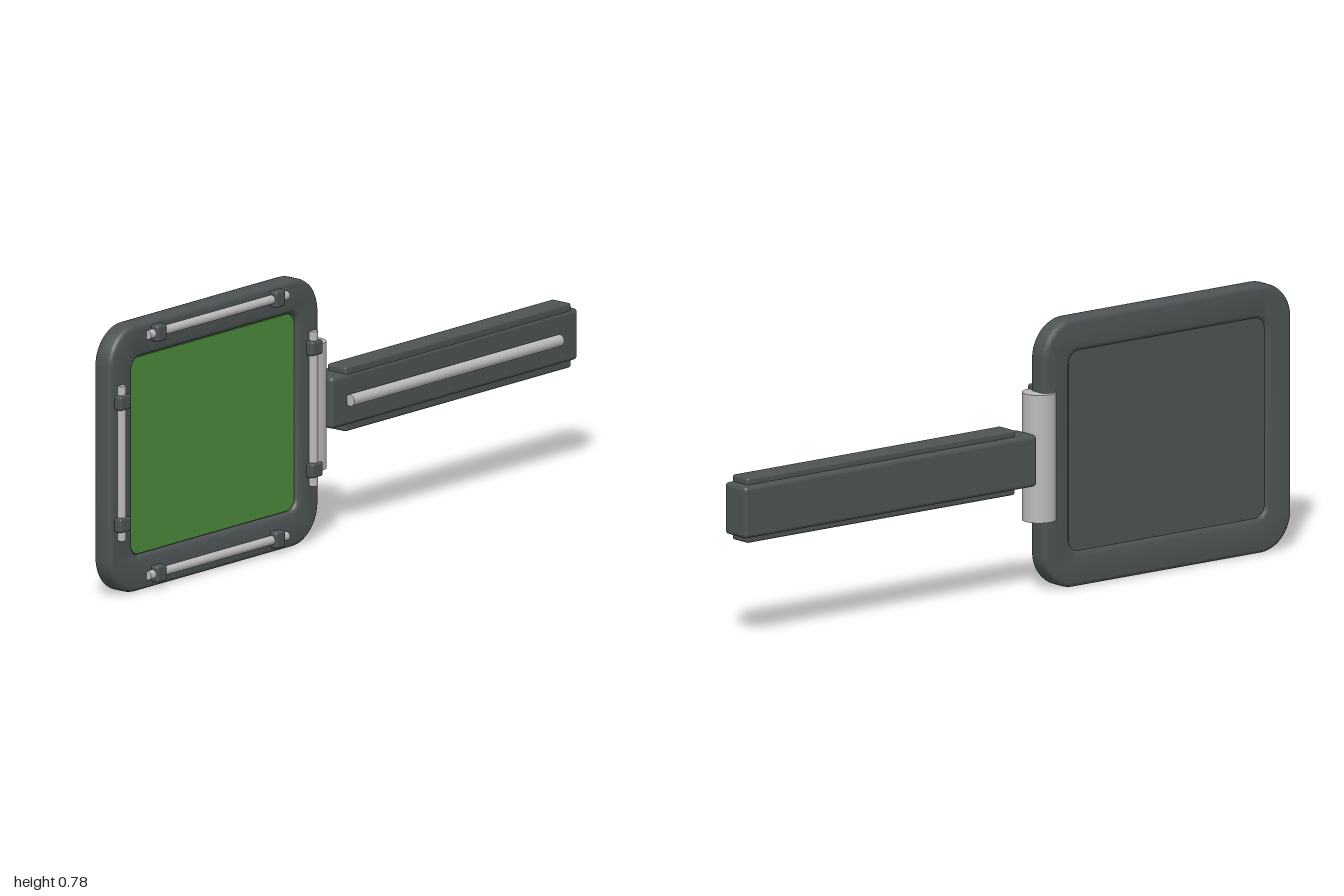
import * as THREE from 'three';
import { toCreasedNormals } from 'three/addons/utils/BufferGeometryUtils.js';
import { RoundedBoxGeometry } from 'three/addons/geometries/RoundedBoxGeometry.js';

const mat = (name, color) => {
  const m = new THREE.MeshStandardMaterial({ color });
  m.name = name;
  return m;
};

// Rounded rectangle drawn into a Shape or a Path
function roundRect(path, x0, y0, x1, y1, r) {
  path.moveTo(x0 + r, y0);
  path.lineTo(x1 - r, y0);
  path.absarc(x1 - r, y0 + r, r, -Math.PI / 2, 0, false);
  path.lineTo(x1, y1 - r);
  path.absarc(x1 - r, y1 - r, r, 0, Math.PI / 2, false);
  path.lineTo(x0 + r, y1);
  path.absarc(x0 + r, y1 - r, r, Math.PI / 2, Math.PI, false);
  path.lineTo(x0, y0 + r);
  path.absarc(x0 + r, y0 + r, r, Math.PI, Math.PI * 1.5, false);
  return path;
}

export function createModel() {
  const root = new THREE.Group();
  root.name = 'handheldScreen';
  const dark = mat('darkGrey', 0x4d5354);
  const silver = mat('silver', 0xb9b9bd);
  const green = mat('screenGreen', 0x4d8a3d);

  const add = (name, geometry, material, x = 0, y = 0, z = 0, parent = root) => {
    const mesh = new THREE.Mesh(geometry, material);
    mesh.name = name;
    mesh.position.set(x, y, z);
    parent.add(mesh);
    return mesh;
  };
  // Rounded box from its two extreme corners
  const box = (name, a, b, radius, parent) => add(name,
    new RoundedBoxGeometry(b[0] - a[0], b[1] - a[1], b[2] - a[2], 3, radius), dark,
    (a[0] + b[0]) / 2, (a[1] + b[1]) / 2, (a[2] + b[2]) / 2, parent);

  // Screen frame with a softened rim and a rounded opening
  const bevel = 0.013;
  const frame = roundRect(new THREE.Shape(), -1, 0, -0.1, 0.778, 0.11);
  frame.holes.push(roundRect(new THREE.Path(), -0.905, 0.103, -0.193, 0.682, 0.035));
  const frameGeo = new THREE.ExtrudeGeometry(frame, {
    depth: 0.065 - 2 * bevel, bevelEnabled: true, bevelSize: bevel, bevelOffset: -bevel,
    bevelThickness: bevel, bevelSegments: 3, curveSegments: 10,
  });
  add('frame', toCreasedNormals(frameGeo, 0.7), dark, 0, 0, -0.045 + bevel);

  // Panel filling the opening, with the screen on its front
  const panel = roundRect(new THREE.Shape(), -0.91, 0.098, -0.188, 0.687, 0.035);
  add('backPanel', new THREE.ExtrudeGeometry(panel, { depth: 0.04, bevelEnabled: false }),
    dark, 0, 0, -0.036);
  const screen = roundRect(new THREE.Shape(), -0.902, 0.106, -0.196, 0.679, 0.033);
  add('screen', new THREE.ExtrudeGeometry(screen, { depth: 0.005, bevelEnabled: false }),
    green, 0, 0, 0.004);

  // One clip rail: a silver rod held by two clasps, laid out along local x
  function clipRail(name, x, y, length, spacing, vertical) {
    const rail = new THREE.Group();
    rail.name = name;
    rail.position.set(x, y, 0.02);
    if (vertical) rail.rotation.z = Math.PI / 2;
    const rod = add('rod', new THREE.CylinderGeometry(0.013, 0.013, length, 20), silver, 0, 0, 0.005, rail);
    rod.rotation.z = Math.PI / 2;
    for (const s of [-1, 1]) {
      const c = s * spacing / 2;
      box('clasp', [c - 0.021, -0.024, -0.01], [c + 0.021, 0.024, 0.023], 0.007, rail);
    }
    root.add(rail);
  }
  clipRail('topRail', -0.547, 0.741, 0.6, 0.513, false);
  clipRail('bottomRail', -0.547, 0.04, 0.6, 0.513, false);
  clipRail('rightRail', -0.96, 0.39, 0.45, 0.356, true);
  clipRail('leftRail', -0.132, 0.39, 0.45, 0.356, true);

  // Hinge barrel between frame and handle
  add('hinge', new THREE.CylinderGeometry(0.0485, 0.0485, 0.37, 40), silver, -0.107, 0.39, -0.0115);

  // Handle with side strips and a silver inlay rod
  box('handle', [-0.063, 0.315, -0.06], [1, 0.465, 0.036], 0.012);
  box('sideStrips', [0, 0.296, -0.038], [0.975, 0.484, 0.032], 0.007);
  const inlay = add('inlayRod', new THREE.CylinderGeometry(0.017, 0.017, 0.907, 24), silver, 0.455, 0.39, 0.046);
  inlay.rotation.z = Math.PI / 2;

  return root;
}
